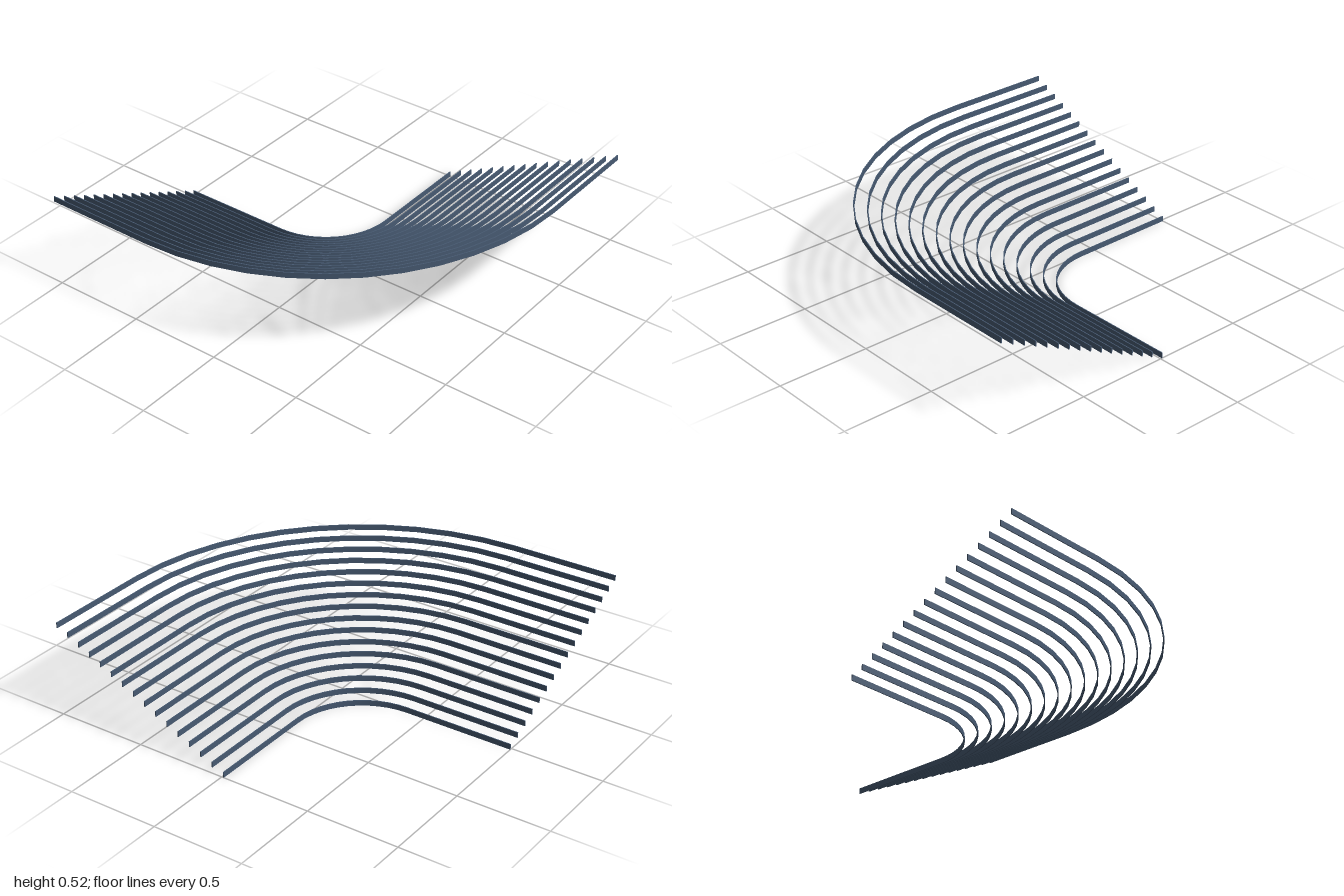
import * as THREE from 'three';

const ROWS = 16, STRIP_HEIGHT = 0.03, THICKNESS = 0.005;
const RISE = 0.0327;               // height gained per row
const BEND = -0.4;                 // x and z of the shared bend centre
const INNER_RADIUS = 0.39, OUTER_RADIUS = 1.3975;
const ARC_STEPS = 12;

// One upright strip: straight run, quarter bend, straight run
function bentStrip(radius) {
  const columns = ARC_STEPS + 2;
  const geometry = new THREE.BoxGeometry(columns, STRIP_HEIGHT, THICKNESS, columns, 1, 1);
  const p = geometry.attributes.position;
  for (let i = 0; i < p.count; i++) {
    const column = Math.round(p.getX(i) + columns / 2);
    const step = THREE.MathUtils.clamp(column - 1, 0, ARC_STEPS);
    const angle = (step / ARC_STEPS) * Math.PI / 2;
    const r = radius + p.getZ(i);
    let x = BEND + r * Math.sin(angle);
    let z = BEND + r * Math.cos(angle);
    if (column === 0) x = -1;
    if (column === columns) z = -1;
    p.setXYZ(i, x, p.getY(i), z);
  }
  geometry.computeVertexNormals();
  return geometry;
}

export function createModel() {
  const model = new THREE.Group();
  model.name = 'tieredStrips';
  const slate = new THREE.MeshStandardMaterial({ color: 0x475a72 });
  slate.name = 'slate blue';

  // Rows step outward and upward like a grandstand
  for (let row = 0; row < ROWS; row++) {
    const radius = THREE.MathUtils.lerp(INNER_RADIUS, OUTER_RADIUS, row / (ROWS - 1));
    const strip = new THREE.Mesh(bentStrip(radius), slate);
    strip.name = `rowStrip${row + 1}`;
    strip.position.y = STRIP_HEIGHT / 2 + row * RISE;
    model.add(strip);
  }
  return model;
}
